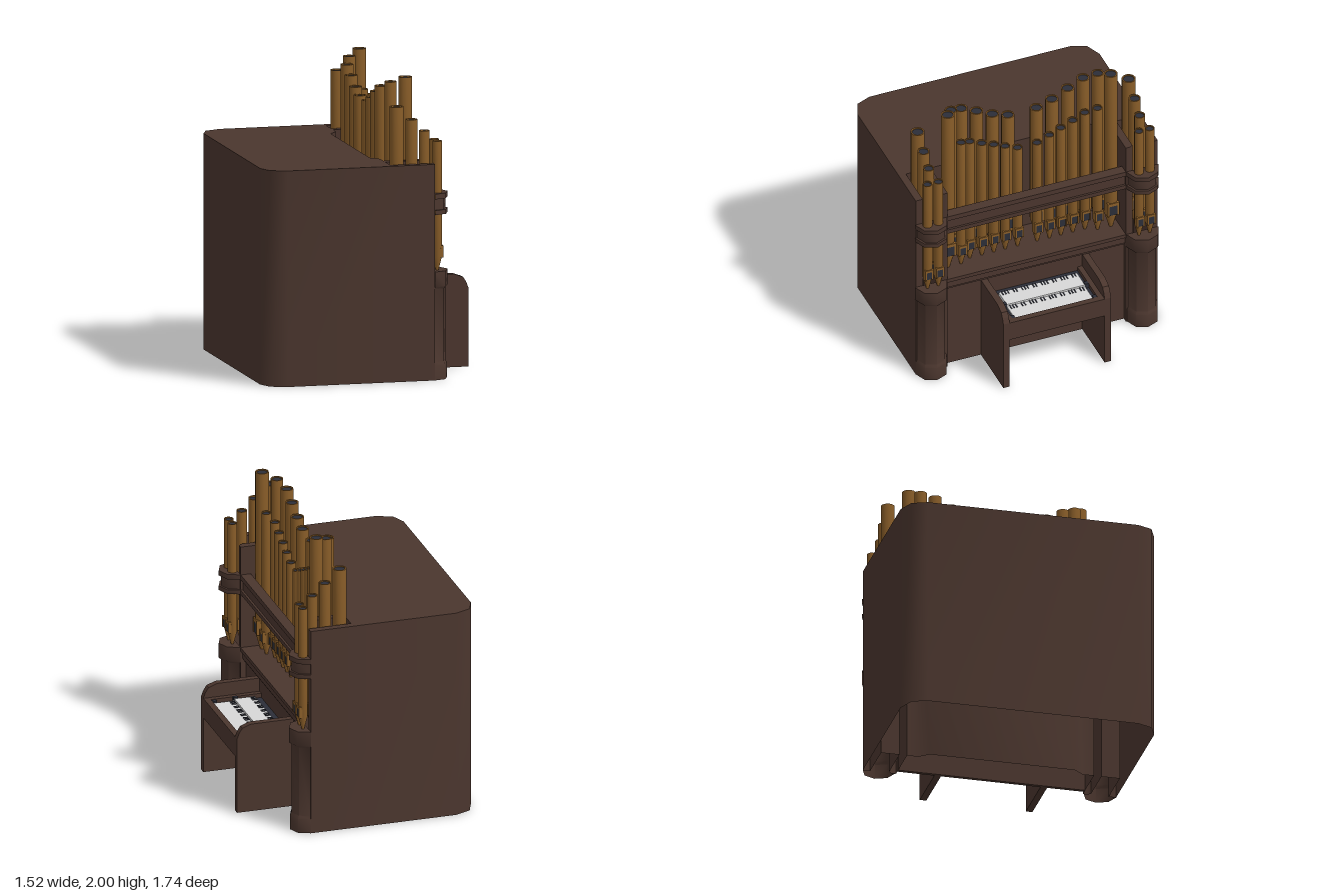
import * as THREE from 'three';
import { toCreasedNormals } from 'three/addons/utils/BufferGeometryUtils.js';

const make = (name, color, extra) => {
  const m = new THREE.MeshStandardMaterial({ color, ...extra });
  m.name = name;
  return m;
};

export function createModel() {
  const wood = make('dark wood', 0x4b362e, { side: THREE.DoubleSide });
  const brass = make('pipe brass', 0x8a5e29, { side: THREE.DoubleSide });
  const dark = make('dark slate', 0x2c2e38);
  const ivory = make('key white', 0xd8d8d8);
  const organ = new THREE.Group();
  organ.name = 'pipeOrgan';

  const add = (name, geo, mat, parent = organ) => {
    const mesh = new THREE.Mesh(geo, mat);
    mesh.name = name;
    parent.add(mesh);
    return mesh;
  };
  // Box given by its limits
  const box = (name, mat, x0, x1, y0, y1, z0, z1, parent) => add(name,
    new THREE.BoxGeometry(x1 - x0, y1 - y0, z1 - z0)
      .translate((x0 + x1) / 2, (y0 + y1) / 2, (z0 + z1) / 2), mat, parent);
  // Flat plate over an [x, z] outline, facing up
  const plate = (name, mat, pts, y) => add(name,
    new THREE.ShapeGeometry(new THREE.Shape(pts.map(([x, z]) => new THREE.Vector2(x, -z))))
      .rotateX(-Math.PI / 2).translate(0, y, 0), mat);
  // Upright wall along a closed [x, z] outline
  const wall = (name, mat, pts, y0, y1) => {
    const pos = [];
    pts.forEach(([ax, az], i) => {
      const [bx, bz] = pts[(i + 1) % pts.length];
      pos.push(ax, y0, az, bx, y0, bz, bx, y1, bz, ax, y0, az, bx, y1, bz, ax, y1, az);
    });
    const geo = new THREE.BufferGeometry();
    geo.setAttribute('position', new THREE.Float32BufferAttribute(pos, 3));
    return add(name, toCreasedNormals(geo, 0.85), mat);
  };
  const lathe = (profile, segments, start, length, crease) => toCreasedNormals(
    new THREE.LatheGeometry(profile.map(([r, y]) => new THREE.Vector2(r, y)), segments, start, length), crease);

  // Case: open below, with a central pipe recess and two side niches
  const half = [[-0.76, 0.72], [-0.72, 0.82], [-0.61, 0.865], [0.4, 0.865], [0.4, 0.815],
    [0.105, 0.815], [0.105, 0.69], [0.385, 0.69], [0.4, 0.67], [0.4, 0.638],
    [0.105, 0.638], [0.105, 0.56], [0.05, 0.495]];
  const outline = [...half, ...half.map(([x, z]) => [x, -z]).reverse()];
  wall('caseWalls', wood, outline, 0, 1.45);
  plate('caseRoof', wood, outline, 1.45);

  // Lower front, pipe shelf and its mouldings
  plate('pipeShelf', wood, [...half.slice(9), ...half.slice(9).map(([x, z]) => [x, -z]).reverse()], 0.728);
  box('frontPanel', wood, 0.34, 0.365, 0, 0.65, -0.64, 0.64);
  box('frontMouldingLow', wood, 0.34, 0.375, 0.63, 0.65, -0.64, 0.64);
  box('frontMouldingMid', wood, 0.34, 0.388, 0.65, 0.70, -0.64, 0.64);
  box('frontMouldingTop', wood, 0.33, 0.4, 0.70, 0.727, -0.64, 0.64);

  // Cross beam in front of the pipes
  box('crossBeam', wood, 0.335, 0.385, 1.14, 1.215, -0.64, 0.64);
  box('crossBeamTop', wood, 0.33, 0.4, 1.215, 1.25, -0.64, 0.64);
  box('crossBeamBottom', wood, 0.33, 0.4, 1.11, 1.14, -0.64, 0.64);

  // Half-round towers with their upper collars
  const column = [[0.11, 0], [0.11, 0.1], [0.1, 0.12], [0.1, 0.61], [0.115, 0.625], [0.115, 0.728], [0, 0.728]];
  const collar = [[0, 1.11], [0.115, 1.11], [0.115, 1.14], [0.1, 1.14], [0.1, 1.215],
    [0.115, 1.215], [0.115, 1.25], [0, 1.25]];
  for (const s of [1, -1]) {
    add('towerColumn', lathe(column, 4, 0, Math.PI, 0.85), wood).position.set(0.4, 0, s * 0.755);
    add('towerCollar', lathe(collar, 4, 0, Math.PI, 0.85), wood).position.set(0.4, 0, s * 0.755);
  }

  // Pipe: tapered foot, tube with a rim, and a framed mouth
  const pipe = (x, z, r, top) => {
    const g = new THREE.Group();
    g.name = 'pipe';
    g.position.set(x, 0, z);
    organ.add(g);
    const k = r > 0.04 ? 1.3 : 1;
    const foot = 0.73 + 0.09 * k;
    add('pipeTube', lathe([[r * 0.25, 0.725], [r, foot], [r, top], [r * 0.8, top], [r * 0.8, top - 0.02]],
      12, 0, Math.PI * 2, 0.6), brass, g);
    add('pipeOpening', new THREE.CircleGeometry(r * 0.82, 12).rotateX(-Math.PI / 2)
      .translate(0, top - 0.008, 0), dark, g);
    const mouthTop = foot + 0.058 * k;
    box('mouthPlate', dark, r * 0.9, r + 0.002, foot, mouthTop, -r * 0.6, r * 0.6, g);
    box('mouthLip', brass, r * 0.6, r + 0.004, mouthTop, mouthTop + 0.018 * k, -r * 0.9, r * 0.9, g);
    for (const e of [1, -1]) {
      const c = e * r * 0.75;
      box('mouthEar', brass, r * 0.4, r + 0.004, foot - 0.005, mouthTop, c - r * 0.15, c + r * 0.15, g);
    }
  };
  const pipes = [
    // tall rank
    [0.27, 0.583, 0.046, 2], [0.185, 0.525, 0.042, 1.962], [0.145, 0.436, 0.044, 1.922],
    [0.145, 0.326, 0.045, 1.868], [0.145, 0.213, 0.045, 1.81], [0.145, 0.102, 0.044, 1.77],
    // short rank
    [0.27, 0.488, 0.034, 1.742], [0.235, 0.412, 0.034, 1.703], [0.235, 0.325, 0.035, 1.663],
    [0.235, 0.24, 0.034, 1.627], [0.235, 0.158, 0.033, 1.59], [0.235, 0.07, 0.034, 1.552],
    // side niches
    [0.165, 0.755, 0.047, 1.832], [0.267, 0.755, 0.041, 1.742], [0.355, 0.755, 0.037, 1.663],
    // towers
    [0.433, 0.718, 0.032, 1.597], [0.433, 0.795, 0.032, 1.597],
  ];
  for (const [x, z, r, top] of pipes) for (const s of [1, -1]) pipe(x, s * z, r, top);

  // Console: shaped cheeks, key bed, front board and inner rims
  const cheek = new THREE.Shape([[0.36, 0], [0.757, 0], [0.757, 0.53], [0.742, 0.57], [0.72, 0.603],
    [0.66, 0.625], [0.36, 0.625]].map(([x, y]) => new THREE.Vector2(x, y)));
  for (const s of [1, -1]) {
    add('consoleCheek', new THREE.ExtrudeGeometry(cheek, { depth: 0.045, bevelEnabled: false })
      .translate(0, 0, s > 0 ? 0.34 : -0.385), wood);
    box('keyRim', wood, 0.36, 0.715, 0.48, 0.53, s > 0 ? 0.305 : -0.34, s > 0 ? 0.34 : -0.305);
    box('keyBlockLower', dark, 0.68, 0.71, 0.49, 0.526, s * 0.292 - 0.013, s * 0.292 + 0.013);
    box('keyBlockUpper', dark, 0.535, 0.565, 0.49, 0.535, s * 0.292 - 0.013, s * 0.292 + 0.013);
  }
  box('keyBed', wood, 0.36, 0.715, 0.39, 0.49, -0.34, 0.34);
  box('frontBoard', wood, 0.715, 0.757, 0.39, 0.53, -0.34, 0.34);
  box('keyTray', dark, 0.365, 0.715, 0.485, 0.5, -0.305, 0.305);

  // Two manuals, each with white keys and grouped black keys
  for (const [x0, x1, y] of [[0.563, 0.71, 0.513], [0.42, 0.56, 0.526]]) {
    box('whiteKeys', ivory, x0, x1, 0.495, y, -0.28, 0.28);
    for (let i = 0; i < 28; i++) {
      if (i % 7 === 2 || i % 7 === 6) continue;
      const z = -0.26 + i * 0.02;
      box('blackKey', dark, x0, x0 + 0.035, y, y + 0.004, z - 0.004, z + 0.004);
    }
  }
  return organ;
}
